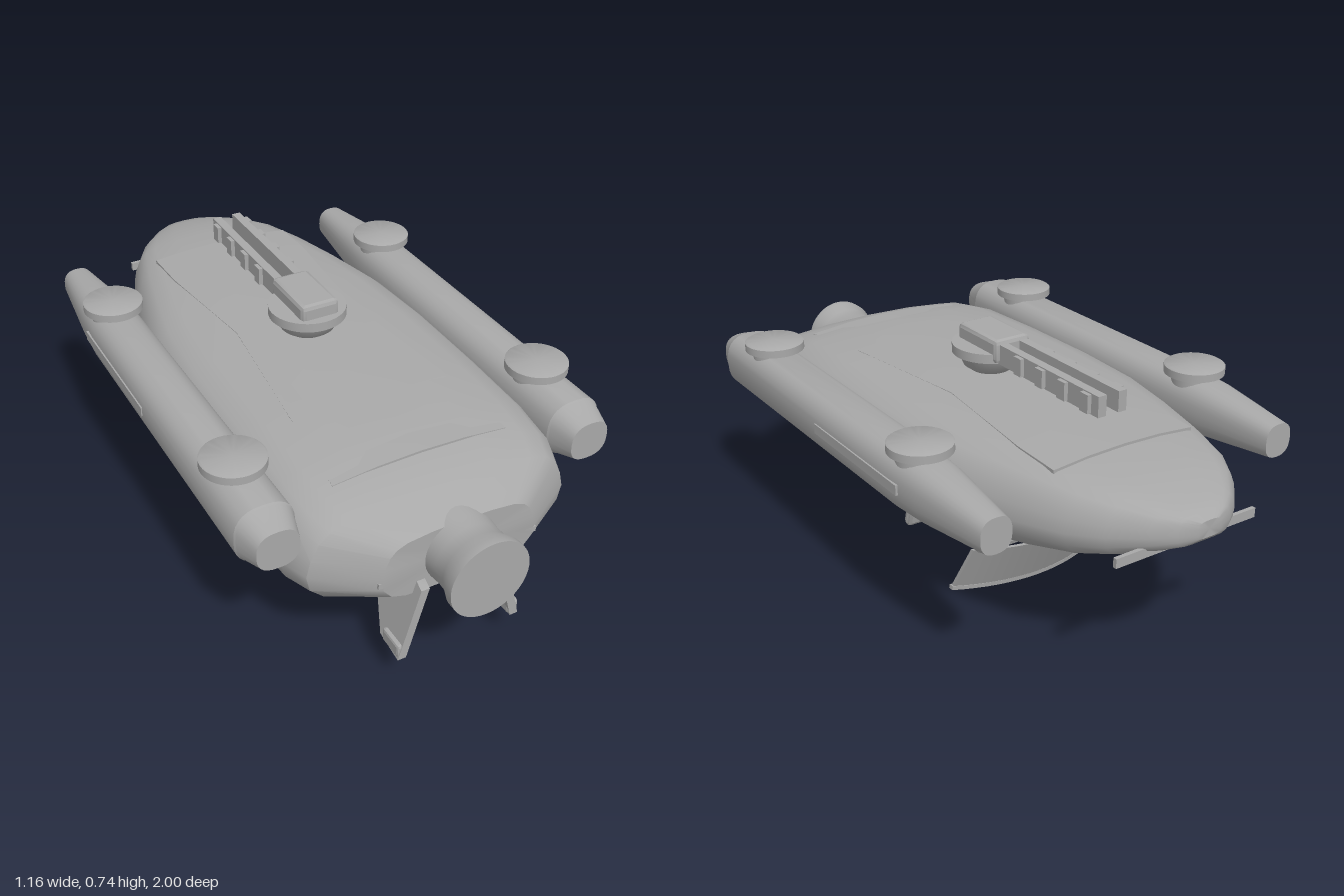
import * as THREE from 'three';
import { toCreasedNormals } from 'three/addons/utils/BufferGeometryUtils.js';
import { RoundedBoxGeometry } from 'three/addons/geometries/RoundedBoxGeometry.js';

const V = (x, y, z) => new THREE.Vector3(x, y, z);

// Skin a row of closed rings and cap both ends.
function loft(rings, crease = 0.6) {
  const n = rings[0].length, pos = [], idx = [];
  rings.forEach(r => r.forEach(p => pos.push(p.x, p.y, p.z)));
  for (let i = 0; i < rings.length - 1; i++) for (let j = 0; j < n; j++) {
    const a = i * n + j, b = i * n + (j + 1) % n, d = a + n, c = b + n;
    idx.push(a, d, b, b, d, c);
  }
  [0, rings.length - 1].forEach((k, end) => {
    const mid = rings[k].reduce((m, p) => m.add(p), V(0, 0, 0)).divideScalar(n);
    const m = pos.length / 3;
    pos.push(mid.x, mid.y, mid.z);
    for (let j = 0; j < n; j++) {
      const a = k * n + j, b = k * n + (j + 1) % n;
      if (end) idx.push(m, b, a); else idx.push(m, a, b);
    }
  });
  const g = new THREE.BufferGeometry();
  g.setAttribute('position', new THREE.Float32BufferAttribute(pos, 3));
  g.setIndex(idx);
  return toCreasedNormals(g, crease);
}

export function createModel() {
  const model = new THREE.Group();
  const grey = new THREE.MeshStandardMaterial({ color: 0xa8a8a8 });
  grey.name = 'hull grey';

  const add = (name, geo, x = 0, y = 0, z = 0, rx = 0) => {
    const m = new THREE.Mesh(geo, grey);
    m.name = name;
    m.position.set(x, y, z);
    m.rotation.x = rx;
    model.add(m);
    return m;
  };
  const box = (name, w, h, d, x, y, z, rx = 0) => add(name, new THREE.BoxGeometry(w, h, d), x, y, z, rx);
  const bevelBox = (name, w, h, d, x, y, z, rx = 0, r = 0.014) =>
    add(name, toCreasedNormals(new RoundedBoxGeometry(w, h, d, 1, r), 0.3), x, y, z, rx);
  const lathe = (pts, seg = 40) =>
    toCreasedNormals(new THREE.LatheGeometry(pts.map(p => new THREE.Vector2(...p)), seg), 0.6);

  // Hull: half section (across, up) mirrored, scaled along the length
  const half = [[0, 0], [0.4, 0], [0.68, 0.015], [0.87, 0.09], [0.975, 0.24], [1, 0.42], [0.97, 0.6],
    [0.91, 0.78], [0.83, 0.88], [0.7, 0.945], [0.4, 0.985], [0, 1]];
  const section = half.concat(half.slice(1, -1).reverse().map(([u, v]) => [-u, v]));
  const stations = [ // z, half width, bottom, top
    [0.86, 0.24, 0.3, 0.5], [0.76, 0.41, 0.275, 0.548], [0.68, 0.442, 0.265, 0.574], [0.55, 0.455, 0.262, 0.595],
    [0.3, 0.46, 0.265, 0.603], [0, 0.46, 0.275, 0.605], [-0.25, 0.44, 0.29, 0.605], [-0.45, 0.39, 0.315, 0.604],
    [-0.62, 0.34, 0.345, 0.598], [-0.77, 0.285, 0.378, 0.586], [-0.86, 0.225, 0.405, 0.573],
    [-0.94, 0.145, 0.437, 0.553], [-0.98, 0.09, 0.455, 0.54], [-1, 0.04, 0.475, 0.525]];
  add('hull', loft(stations.map(([z, w, b, t]) => section.map(([u, v]) => V(u * w, b + v * (t - b), z)))));

  // Raised panel on the back of the hull
  const deck = [[0.65, 0.275, 0.586], [0.35, 0.25, 0.607], [-0.1, 0.2, 0.61], [-0.5, 0.24, 0.608], [-0.66, 0.24, 0.603]];
  add('topPanel', loft(deck.map(([z, w, y]) => [
    V(-w, 0.53, z), V(w, 0.53, z),
    ...[1, 0.5, 0, -0.5, -1].map(u => V(u * w, y - 0.25 * u * u * w * w, z))])));

  // Nozzle
  add('nozzle', lathe([[0, -0.03], [0.115, -0.03], [0.11, 0.03], [0.106, 0.07], [0.108, 0.11],
    [0.122, 0.145], [0.122, 0.17], [0, 0.17]]), 0, 0.405, 0.83, Math.PI / 2);

  // Side pods with round caps on top
  const podRings = [[0.76, 0.062, 0.06], [0.685, 0.084, 0.085], [0.68, 0.088, 0.089], [-0.38, 0.086, 0.088],
    [-0.5, 0.078, 0.082], [-0.76, 0.048, 0.052]];
  const squircle = Array.from({ length: 28 }, (_, i) => {
    const a = i / 28 * Math.PI * 2, c = Math.cos(a), s = Math.sin(a);
    return [Math.sign(c) * Math.abs(c) ** 0.78, Math.sign(s) * Math.abs(s) ** 0.78];
  });
  const capGeo = lathe([[0, -0.02], [0.07, -0.02], [0.07, 0.008], [0.093, 0.012], [0.093, 0.036],
    [0.087, 0.04], [0, 0.04]]);
  for (const s of [1, -1]) {
    add('sidePod', loft(podRings.map(([z, rx, ry]) => squircle.map(([u, v]) => V(u * rx, v * ry, z)))), s * 0.488, 0.52, 0);
    for (const z of [0.495, -0.4]) add('podCap', capGeo, s * 0.487, 0.6, z);
    box('podStrip', 0.012, 0.03, 0.47, s * 0.572, 0.523, -0.185);
  }

  // Turret with twin rails
  add('turretBase', lathe([[0, 0.595], [0.05, 0.6], [0.085, 0.625], [0.103, 0.663], [0.12, 0.665],
    [0.12, 0.694], [0, 0.694]]), 0, 0, -0.015);
  bevelBox('turretHousing', 0.125, 0.075, 0.21, 0, 0.703, -0.03);
  for (const s of [1, -1]) {
    box('rail', 0.028, 0.062, 0.48, s * 0.035, 0.697, -0.36);
    for (let i = 0; i < 4; i++) box('railRib', 0.014, 0.055, 0.035, s * 0.055, 0.697, -0.24 - i * 0.104);
  }

  // Slanted fins under the nozzle, feet thicker than the blades
  const finOutline = [[0.79, 0.112], [0.68, 0.27], [0.7, 0.34], [0.86, 0.34], [0.89, 0.33], [0.89, 0.1]];
  for (const s of [1, -1]) {
    const lean = y => s * (0.12 + (0.34 - y) * 0.27);
    add('lowerFin', loft([0.013, -0.013].map(t => finOutline.map(([z, y]) => V(lean(y) + t, y, z)))));
    bevelBox('finFoot', 0.034, 0.045, 0.085, s * 0.181, 0.126, 0.846, 0, 0.008);
    box('sideTab', 0.09, 0.018, 0.03, s * 0.205, 0.369, 0.845);
  }
  box('noseFin', 0.48, 0.028, 0.012, 0, 0.438, -0.92);

  // Belly plates
  box('bellyPlate', 0.58, 0.026, 0.67, 0, 0.27, -0.055, 0.03);
  box('bellyPanel', 0.5, 0.012, 0.3, 0, 0.262, 0.5);

  // Mounts with hanging slanted flaps
  for (const s of [1, -1]) {
    bevelBox('flapMount', 0.165, 0.05, 0.18, s * 0.143, 0.236, -0.01);
    bevelBox('flap', 0.155, 0.19, 0.034, s * 0.145, 0.131, 0.133, -0.26);
  }

  // Bowed scoop and its bracket
  bevelBox('scoopBracket', 0.5, 0.09, 0.12, 0, 0.21, -0.27, 0, 0.02);
  const bow = (top, bottom, thick, zTop, zBottom, wTop, wBottom) =>
    loft(Array.from({ length: 17 }, (_, i) => {
      const u = 1 - i / 8, zt = zTop + 0.07 * u * u, zb = zBottom + 0.07 * u * u;
      return [V(u * wBottom, bottom, zb), V(u * wTop, top, zt),
        V(u * wTop, top, zt + thick), V(u * wBottom, bottom, zb + thick)];
    }));
  add('scoop', bow(0.17, 0.005, 0.012, -0.362, -0.28, 0.25, 0.272));
  add('scoopEdge', bow(0.014, 0, 0.018, -0.285, -0.283, 0.275, 0.276));
  return model;
}
